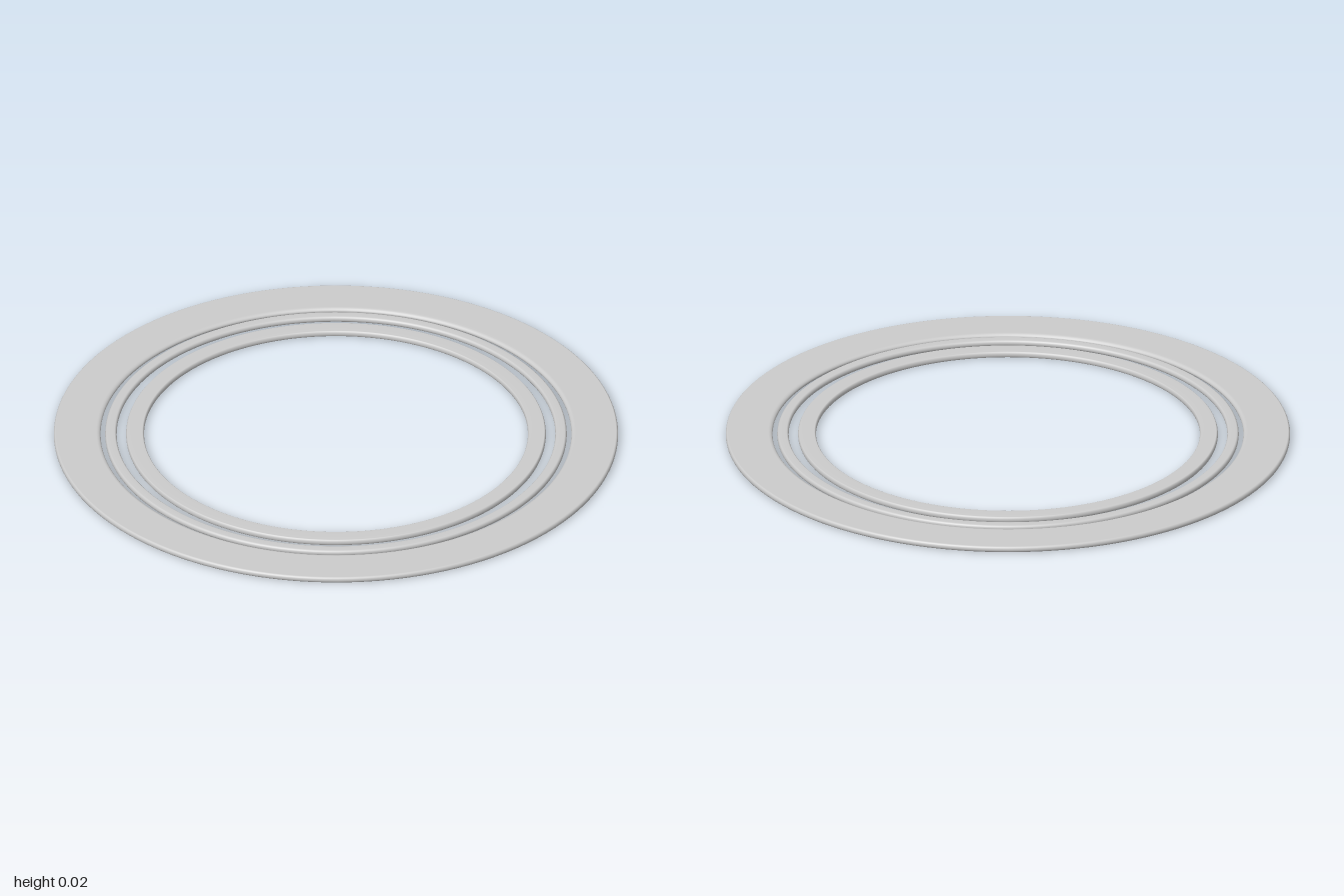
import * as THREE from 'three';

const material = new THREE.MeshStandardMaterial({ color: 0xcccccc });
const HEIGHT = 0.022;

// Flat ring with rounded rims; bevelIn and bevelOut are the widths of the rounding.
function flatRing(name, inner, outer, bevelIn, bevelOut) {
  const half = HEIGHT / 2, steps = 8, points = [];
  const middle = (inner + outer) / 2;
  points.push(new THREE.Vector2(middle, 0));
  // outer rim, bottom to top
  for (let i = 0; i <= steps; i++) {
    const a = -Math.PI / 2 + (Math.PI * i) / steps;
    points.push(new THREE.Vector2(outer - bevelOut + bevelOut * Math.cos(a), half + half * Math.sin(a)));
  }
  points.push(new THREE.Vector2(middle, HEIGHT));
  // inner rim, top to bottom
  for (let i = 0; i <= steps; i++) {
    const a = Math.PI / 2 + (Math.PI * i) / steps;
    points.push(new THREE.Vector2(inner + bevelIn + bevelIn * Math.cos(a), half + half * Math.sin(a)));
  }
  points.push(new THREE.Vector2(middle, 0));
  const ring = new THREE.Mesh(new THREE.LatheGeometry(points, 128), material);
  ring.name = name;
  return ring;
}

export function createModel() {
  const group = new THREE.Group();
  group.name = 'concentricRings';
  group.add(
    flatRing('outerRing', 0.834, 1, 0.015, 0.008),
    flatRing('middleRing', 0.777, 0.818, 0.008, 0.008),
    flatRing('innerRing', 0.68, 0.744, 0.006, 0.006)
  );
  return group;
}
